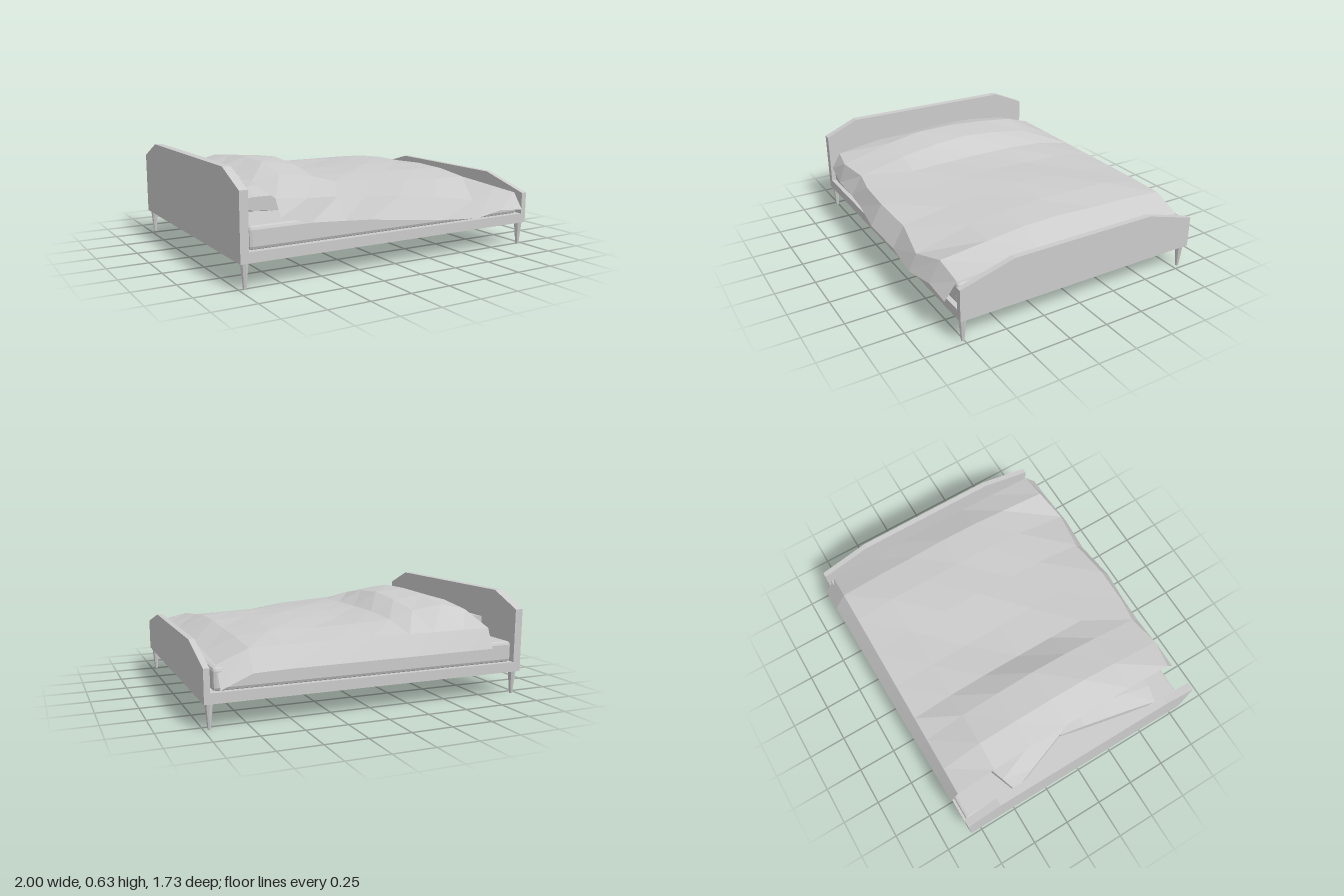
import * as THREE from 'three';
import { RoundedBoxGeometry } from 'three/addons/geometries/RoundedBoxGeometry.js';

const grey = new THREE.MeshStandardMaterial({ color: 0xcccccc, flatShading: true, side: THREE.DoubleSide });
grey.name = 'plain grey';

const BACK = -0.825, FRONT = 0.785, MID = (BACK + FRONT) / 2;

function add(group, name, geometry, x = 0, y = 0, z = 0) {
  const mesh = new THREE.Mesh(geometry, grey);
  mesh.name = name;
  mesh.position.set(x, y, z);
  group.add(mesh);
  return mesh;
}

// End board with clipped upper corners, extruded along x
function board(thickness, top, shoulder, halfTop) {
  const w = (FRONT - BACK) / 2;
  const shape = new THREE.Shape([
    [-w, 0.145], [w, 0.145], [w, shoulder], [halfTop, top], [-halfTop, top], [-w, shoulder],
  ].map(p => new THREE.Vector2(...p)));
  return new THREE.ExtrudeGeometry(shape, { depth: thickness, bevelEnabled: false }).rotateY(Math.PI / 2);
}

// Cushion that thins towards its rim
function pillowGeometry(width, height, length) {
  const geo = new THREE.BoxGeometry(width, height, length, 4, 2, 4);
  const p = geo.attributes.position;
  for (let i = 0; i < p.count; i++) {
    const u = Math.abs(p.getX(i)) / (width / 2), v = Math.abs(p.getZ(i)) / (length / 2);
    p.setY(i, p.getY(i) * (1 - 0.5 * u ** 3) * (1 - 0.5 * v ** 3));
  }
  return geo;
}

// Draped sheet: each column gives x, ridge height, front crease, front hem and hem depth
function blanketGeometry() {
  const columns = [
    [-0.785, 0.54, 0.47, 0.375, 0.825, 0.765],
    [-0.61, 0.595, 0.46, 0.335, 0.84, 0.795],
    [-0.4, 0.57, 0.445, 0.32, 0.835, 0.76],
    [-0.24, 0.49, 0.43, 0.31, 0.84, 0.785],
    [0, 0.475, 0.415, 0.285, 0.865, 0.79],
    [0.27, 0.475, 0.38, 0.25, 0.84, 0.765],
    [0.53, 0.472, 0.335, 0.235, 0.86, 0.81],
    [0.74, 0.45, 0.385, 0.26, 0.835, 0.765],
    [0.92, 0.375, 0.345, 0.245, 0.835, 0.76],
  ];
  const rows = [[-0.52, 0.69], [-0.27, 0.9], [-0.02, 1], [0.23, 0.9], [0.46, 0.62]];
  const n = rows.length + 4;
  const positions = [], index = [];
  columns.forEach(([x, ridge, crease, hem, hemZ, creaseZ], c) => {
    const back = Math.min(0.425, ridge - 0.03);
    positions.push(x, back - 0.12, -0.835 - 0.004 * c, x, back, -0.78);
    rows.forEach(([z, f], r) => {
      const edge = r < 2 ? back : crease;
      const wrinkle = 0.006 * Math.sin(c * 2.3 + r * 1.7) * (c < 8 ? 1 : 0.3);
      positions.push(x, edge + (ridge - edge) * f + wrinkle, z);
    });
    positions.push(x, crease, creaseZ, x, hem, hemZ);
    if (c === 0) return;
    for (let r = 0; r < n - 1; r++) {
      const a = (c - 1) * n + r, b = a + n;
      index.push(a, a + 1, b, b, a + 1, b + 1);
    }
  });
  const geo = new THREE.BufferGeometry();
  geo.setAttribute('position', new THREE.Float32BufferAttribute(positions, 3));
  geo.setIndex(index);
  geo.computeVertexNormals();
  return geo;
}

export function createModel() {
  const bed = new THREE.Group();
  bed.name = 'bed';

  // Frame and end boards
  add(bed, 'frameBase', new THREE.BoxGeometry(1.92, 0.06, FRONT - BACK), 0.005, 0.175, MID);
  add(bed, 'headboard', board(0.05, 0.63, 0.535, 0.585), -1, 0, MID);
  add(bed, 'footboard', board(0.035, 0.435, 0.34, 0.47), 0.965, 0, MID);

  // Tapered legs
  for (const x of [-0.967, 0.967]) {
    for (const z of [0.757, -0.79]) {
      add(bed, 'leg', new THREE.CylinderGeometry(0.024, 0.01, 0.146, 8), x, 0.073, z);
    }
  }

  // Bedding
  add(bed, 'mattress', new RoundedBoxGeometry(1.885, 0.13, 1.575, 1, 0.02), 0.003, 0.27, -0.022);
  const pillow = pillowGeometry(0.4, 0.165, 0.64);
  add(bed, 'frontPillow', pillow, -0.67, 0.415, 0.296).rotation.y = -0.2;
  add(bed, 'backPillow', pillow, -0.653, 0.42, -0.238).rotation.y = 0.35;
  add(bed, 'blanket', blanketGeometry());
  return bed;
}
